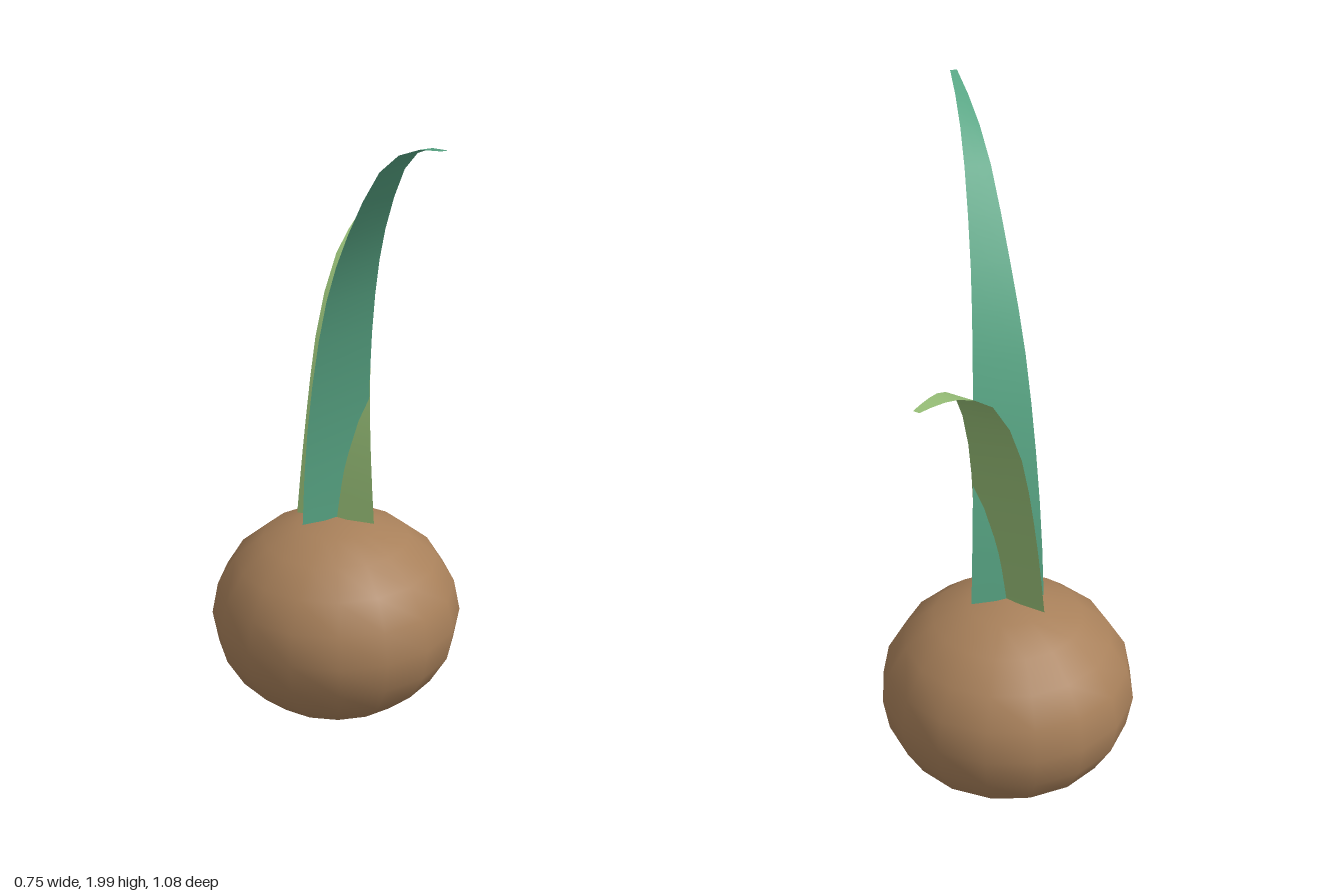
import * as THREE from 'three';

// Flat ribbon leaf bending towards +z; each row is [reach, height, half width]
function makeLeaf(name, rows, material) {
  const samples = 12;
  const curve = new THREE.CatmullRomCurve3(rows.map(([d, y]) => new THREE.Vector3(0, y, d)));
  const widths = new THREE.CatmullRomCurve3(rows.map(([, y, w]) => new THREE.Vector3(w, y, 0)));
  const geometry = new THREE.PlaneGeometry(2, 1, 2, samples);
  const pos = geometry.attributes.position;
  for (let i = 0; i < pos.count; i++) {
    const t = pos.getY(i) + 0.5;
    const p = curve.getPoint(t);
    pos.setXYZ(i, pos.getX(i) * widths.getPoint(t).x, p.y, p.z);
  }
  geometry.computeVertexNormals();
  const leaf = new THREE.Mesh(geometry, material);
  leaf.name = name;
  return leaf;
}

export function createModel() {
  const model = new THREE.Group();
  model.name = 'sproutingBulb';

  const brown = new THREE.MeshStandardMaterial({ name: 'bulb brown', color: 0xa8805a });
  const teal = new THREE.MeshStandardMaterial({ name: 'leaf teal', color: 0x5aa987, side: THREE.DoubleSide });
  const green = new THREE.MeshStandardMaterial({ name: 'leaf light green', color: 0x98c078, side: THREE.DoubleSide });

  // Squashed round bulb
  const bulb = new THREE.Mesh(new THREE.SphereGeometry(0.377, 16, 10).scale(1, 0.84, 1), brown);
  bulb.name = 'bulb';
  bulb.position.set(0, 0.323, -0.167);

  // Tall leaf arching to the front
  const tallLeaf = makeLeaf('tallLeaf', [
    [0, 0.635, 0.108], [0.01, 0.85, 0.102], [0.035, 1.05, 0.094], [0.075, 1.25, 0.084],
    [0.13, 1.43, 0.073], [0.2, 1.58, 0.06], [0.3, 1.74, 0.047], [0.42, 1.88, 0.034],
    [0.56, 1.96, 0.021], [0.707, 2.0, 0.01],
  ], teal);
  tallLeaf.position.z = -0.167;

  // Shorter leaf arching to the back left
  const shortLeaf = makeLeaf('shortLeaf', [
    [0, 0.635, 0.122], [0.012, 0.82, 0.109], [0.035, 1.0, 0.097], [0.08, 1.2, 0.085],
    [0.18, 1.4, 0.062], [0.3, 1.485, 0.037], [0.39, 1.515, 0.022], [0.48, 1.53, 0.01],
  ], green);
  shortLeaf.position.z = -0.17;
  shortLeaf.rotation.y = THREE.MathUtils.degToRad(137);

  model.add(bulb, tallLeaf, shortLeaf);
  return model;
}
